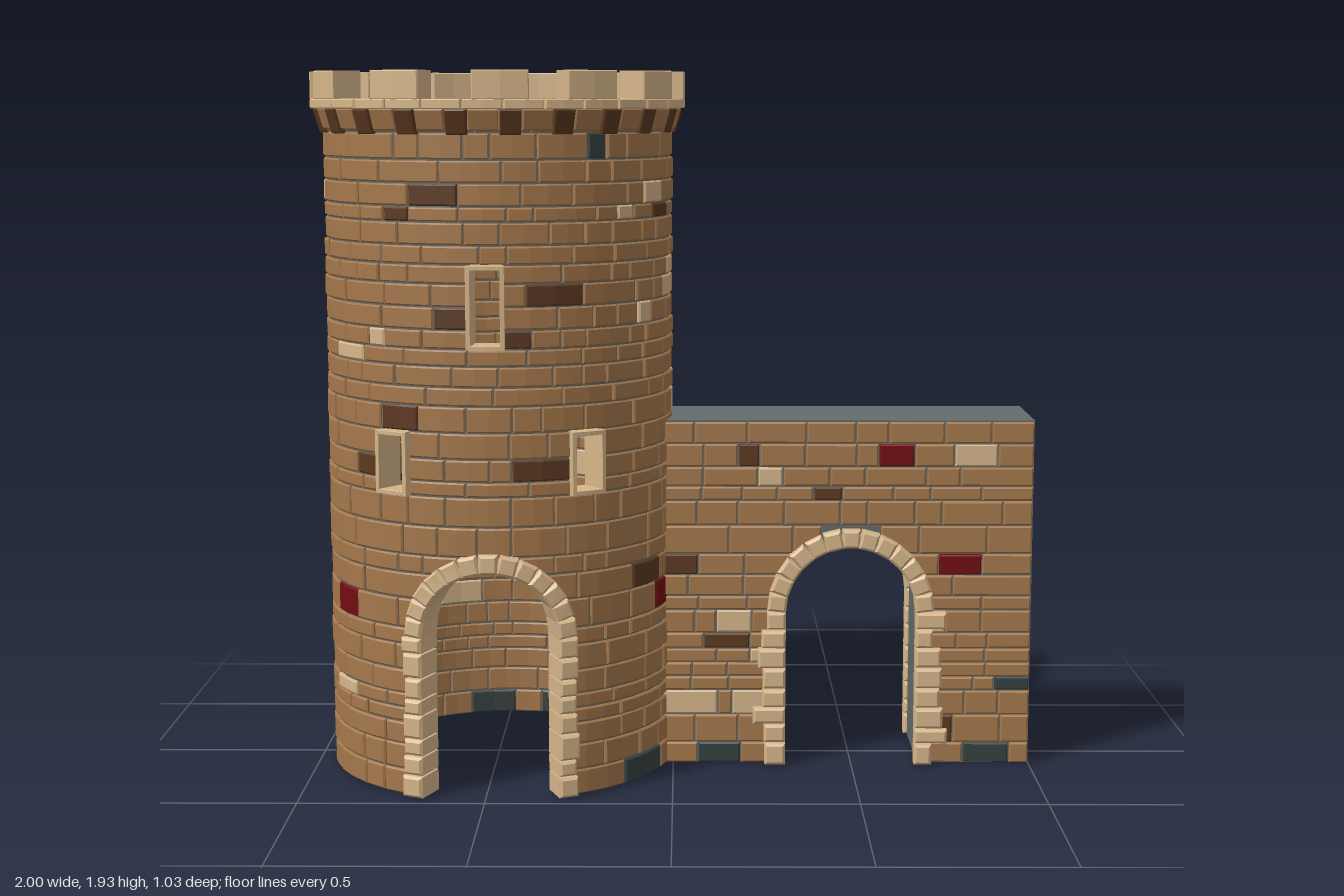
import * as THREE from 'three';
import { mergeGeometries } from 'three/addons/utils/BufferGeometryUtils.js';

const COLORS = {
  brown: 0xa5784c, darkBrown: 0x5c3921, tan: 0xd6b68a,
  red: 0x730d11, slate: 0x364240, mortar: 0x646c6c,
};
const CX = -0.484, R = 0.48;          // tower centre and outer radius
const ARCH_Y = 0.44, ARCH_R = 0.205;  // spring height and centreline radius of both arches
const GAP = 0.004;                    // joint between bricks

// Heights of the brick courses
const TOWER_COURSES = [0, 0.07, 0.14, 0.2, 0.24, 0.28, 0.345, 0.415, 0.46, 0.54, 0.61, 0.66, 0.74, 0.82, 0.86,
  0.92, 0.99, 1.06, 1.11, 1.165, 1.21, 1.26, 1.32, 1.38, 1.43, 1.48, 1.54, 1.58, 1.64, 1.7, 1.77, 1.83];
const WALL_COURSES = [0, 0.06, 0.14, 0.21, 0.25, 0.29, 0.33, 0.375, 0.44, 0.48, 0.54, 0.6, 0.68, 0.75, 0.79,
  0.845, 0.91, 0.972];

// Odd-coloured bricks: place along the wall, height and, where unusual, width
const TOWER_ACCENTS = {
  darkBrown: [[-0.14, 1.6, 0.14], [-0.25, 1.55, 0.08], [0.185, 1.35, 0.16], [0.07, 1.24], [-0.25, 1.02, 0.12],
    [0.135, 0.88, 0.14], [-0.36, 0.88], [0.5, 0.57, 0.14], [0.83, 1.73, 0.13], [0.58, 1.55], [1.19, 0.57, 0.13],
    [-0.08, 1.29, 0.12], [-1.11, 1.35, 0.14], [-1.27, 0.77], [-1.08, 0.77], [1.355, 1.17], [-1.2, 0.57, 0.13],
    [-1.45, 0.43], [-1.3, 1.24], [-0.75, 1.45], [1.34, 0.7], [-0.8, 0.63], [1.2, 0.05]],
  tan: [[-0.445, 1.19, 0.14], [-0.32, 1.24, 0.06], [-0.5, 0.26, 0.13], [0.54, 1.6], [1.19, 1.67], [0.68, 1.4, 0.08],
    [0.68, 1.35, 0.16], [0.49, 1.29, 0.06], [0.8, 1.02, 0.2], [0.77, 1.08, 0.07], [1.05, 0.84, 0.13], [-1.43, 1.5],
    [-0.915, 1.02, 0.16], [-1.32, 0.36, 0.15], [1.27, 0.78], [1.4, 0.95], [-0.7, 1.6], [0.41, 1.55, 0.06]],
  red: [[-0.485, 0.5, 0.12], [0.6, 0.5, 0.1], [1.13, 1.55, 0.07], [1.05, 0.89, 0.12], [1.04, 0.39, 0.09],
    [-1.4, 1.62, 0.08], [-1.4, 0.77, 0.08], [-0.86, 0.05], [-1.16, 1.67, 0.08], [-1.2, 1.09, 0.08]],
  slate: [[0.31, 1.73, 0.06], [0.49, 0.03, 0.18], [1.04, 0.1], [-1.42, 0.03, 0.13], [-1.04, 0.03, 0.13],
    [1.35, 0.03, 0.13], [-0.7, 0.03, 0.1]],
};
const WALL_ACCENTS = {
  darkBrown: [[0.43, 0.77, 0.08], [0.15, 0.35, 0.13], [0.75, 0.1, 0.07], [0.03, 0.57, 0.08], [0.21, 0.88, 0.06]],
  tan: [[0.84, 0.88, 0.12], [0.27, 0.82, 0.07], [0.17, 0.4, 0.1], [0.26, 0.31, 0.09], [0.06, 0.17, 0.13],
    [0.22, 0.19, 0.11], [0.73, 0.4, 0.06]],
  red: [[0.62, 0.88, 0.1], [0.8, 0.57, 0.12]],
  slate: [[0.95, 0.23, 0.1], [0.13, 0.03, 0.12], [0.88, 0.03, 0.13]],
};

export function createModel() {
  let seed = 7;
  const rnd = () => {
    seed = (seed * 16807) % 2147483647;
    return seed / 2147483647;
  };

  const materials = {};
  for (const [name, color] of Object.entries(COLORS)) {
    materials[name] = new THREE.MeshStandardMaterial({ color });
    materials[name].name = name;
  }

  // Maps from (along wall, height, depth) to space
  const bend = (u, y, d) => [CX + d * Math.sin(u / R), y, d * Math.cos(u / R)];
  const flare = (u, y, d) => bend(u, y, d + (d > 0.47 ? (y - 1.765) * 0.3 : 0));
  const front = (u, y, d) => [u, y, d];
  const back = (u, y, d) => [0.98 - u, y, -d - 0.07];

  // Blocks are gathered per part and colour, then merged
  const parts = {};
  const collect = (part, color, geo) => {
    parts[part] ??= {};
    (parts[part][color] ??= []).push(geo);
  };

  // A chamfered block centred at (u, y), turned in the wall plane, placed by a map
  function block(part, color, map, u, y, w, h, d0, d1, bevel = 0.004, turn = 0) {
    const geo = new THREE.BoxGeometry(w, h, d1 - d0, Math.ceil(w / 0.08), 1, 3);
    const p = geo.attributes.position, half = (d1 - d0) / 2;
    const c = Math.cos(turn), s = Math.sin(turn);
    for (let i = 0; i < p.count; i++) {
      let lx = p.getX(i), ly = p.getY(i), lz = p.getZ(i);
      if (Math.abs(lz) > half * 0.9) {
        lx *= 1 - 2 * bevel / w;
        ly *= 1 - 2 * bevel / h;
      } else lz = Math.sign(lz) * (half - bevel);
      p.setXYZ(i, ...map(u + lx * c - ly * s, y + lx * s + ly * c, (d0 + d1) / 2 + lz));
    }
    const flat = geo.toNonIndexed();
    flat.computeVertexNormals();
    collect(part, color, flat);
  }

  // Lay courses from u0 to u1, leaving the openings free and setting the accents in place
  function layBricks(part, map, u0, u1, levels, openings, accents, d0, d1, mortar) {
    for (let row = 0; row + 1 < levels.length; row++) {
      const y0 = levels[row], h = levels[row + 1] - y0, y = y0 + h / 2;
      const brick = (color, a, b) => block(part + 'Bricks', color, map, (a + b) / 2, y, b - a - GAP, h - GAP,
        d0, d1 + rnd() * 0.005 - 0.002);
      const fill = (a, b) => {
        while (a < b - 0.012) {
          let w = 0.07 + 0.12 * rnd();
          if (b - a - w < 0.055) w = b - a;
          brick('brown', a, a + w);
          a += w;
        }
      };
      const shift = mortar ? 0.1 * rnd() : 0; // keeps the closing joint of the ring from lining up
      let spans = [[u0 + shift, u1 + shift]];
      for (const o of openings) {
        const hw = o.half(y0 + h * 0.35);
        if (hw <= 0) continue;
        spans = spans.flatMap(([a, b]) => (o.u - hw > a && o.u + hw < b
          ? [[a, o.u - hw], [o.u + hw, b]] : [[a, b]]));
      }
      for (const [a, b] of spans) {
        if (mortar) block(part + 'Mortar', 'mortar', map, (a + b) / 2, y + 0.004, b - a, h, ...mortar, 0.001);
        const hits = Object.entries(accents).flatMap(([color, spots]) => spots
          .filter(([u, v]) => u > a && u < b && v >= y0 && v < y0 + h)
          .map(([u, , w = 0.1]) => ({ color, a: u - w / 2, b: u + w / 2 })));
        let pos = a;
        for (const hit of hits.sort((p, q) => p.a - q.a)) {
          const start = hit.a - pos < 0.03 ? pos : hit.a;
          const end = b - hit.b < 0.03 ? b : hit.b;
          fill(pos, start);
          brick(hit.color, start, end);
          pos = end;
        }
        fill(pos, b);
      }
    }
  }

  // Stones around an arched opening: two jambs, some reaching outward, and a semicircle
  function archStones(part, map, u, d0, d1, reach) {
    const rows = 8;
    for (const side of [-1, 1]) {
      let y = 0;
      for (let i = 1; i <= rows; i++) {
        const top = i === rows ? ARCH_Y : ARCH_Y * (i + 0.4 * rnd() - 0.2) / rows;
        const extra = reach * rnd() ** 2;
        block(part, 'tan', map, u + side * (ARCH_R + extra / 2), (y + top) / 2, 0.048 + extra, top - y - 0.004,
          d0, d1 - rnd() * 0.006, 0.007);
        y = top;
      }
    }
    const n = 13;
    for (let i = 0; i < n; i++) {
      const a = Math.PI * (i + 0.5) / n;
      block(part, 'tan', map, u + ARCH_R * Math.cos(a), ARCH_Y + ARCH_R * Math.sin(a),
        0.052, Math.PI * ARCH_R / n, d0, d1 - rnd() * 0.006, 0.007, a);
    }
  }

  const archOpening = (u) => ({
    u,
    half: (y) => (y < ARCH_Y ? ARCH_R : Math.sqrt(Math.max(0, ARCH_R ** 2 - (y - ARCH_Y) ** 2))),
  });

  // Tower shell with a doorway and three windows
  const windows = [
    { u: -0.265, y0: 0.82, y1: 0.99 }, { u: 0.27, y0: 0.82, y1: 0.99 }, { u: 0, y0: 1.21, y1: 1.43 },
  ];
  const openings = windows.map(({ u, y0, y1 }) => ({ u, half: (y) => (y > y0 && y < y1 ? 0.044 : 0) }));
  layBricks('tower', bend, -Math.PI * R, Math.PI * R, TOWER_COURSES,
    [archOpening(0), ...openings], TOWER_ACCENTS, 0.415, R, [0.421, 0.474]);
  archStones('doorArch', bend, 0, 0.4, 0.506, 0.012);

  // Window frames
  for (const { u, y0, y1 } of windows) {
    const y = (y0 + y1) / 2;
    for (const s of [-1, 1]) {
      block('windowFrames', 'tan', bend, u + s * 0.043, y, 0.012, y1 - y0, 0.415, 0.5, 0.001);
      block('windowFrames', 'tan', bend, u, y + s * ((y1 - y0) / 2 - 0.006), 0.09, 0.012, 0.415, 0.5, 0.001);
    }
  }

  // Flared corbels and cap slabs
  const around = 2 * Math.PI * R;
  for (let i = 0; i < 44; i++) {
    const dark = i % 2 === 1;
    block('corbels', dark ? 'darkBrown' : 'brown', flare, around * i / 44, dark ? 1.797 : 1.803,
      dark ? 0.054 : 0.076, dark ? 0.064 : 0.054, 0.45, dark ? 0.49 : 0.486, 0.003);
  }
  for (let i = 0; i < 30; i++) {
    block('capRing', 'tan', bend, around * i / 30, 1.843, around / 30 - 0.003, 0.026, 0.42, 0.516, 0.003);
  }

  // Battlements, unevenly spaced
  for (const a of [0.09, 0.58, 1.06, 1.62, 2.24, 2.95, 3.53, 4.1, 4.66, 5.22, 5.81]) {
    block('battlements', 'tan', bend, a * R, 1.892, 0.138, 0.076, 0.43, 0.516, 0.003);
  }

  // Side wall core with an arched passage
  const r = 0.192, ax = 0.495;
  const shape = new THREE.Shape();
  shape.moveTo(-0.05, 0);
  shape.lineTo(ax - r, 0);
  shape.lineTo(ax - r, ARCH_Y);
  shape.absarc(ax, ARCH_Y, r, Math.PI, 0, true);
  shape.lineTo(ax + r, 0);
  shape.lineTo(1, 0);
  shape.lineTo(1, 0.975);
  shape.lineTo(-0.05, 0.975);
  const core = new THREE.ExtrudeGeometry(shape, { depth: 0.29, bevelEnabled: false, curveSegments: 16 });
  collect('wallCore', 'mortar', core.translate(0, 0, -0.18));

  // Brick facing and arch stones, the back mirroring the front
  const mirrored = Object.fromEntries(Object.entries(WALL_ACCENTS)
    .map(([color, spots]) => [color, spots.map(([u, y, w]) => [0.98 - u, y, w])]));
  layBricks('wallFront', front, -0.03, 1, WALL_COURSES, [archOpening(ax)], WALL_ACCENTS, 0.1, 0.12);
  layBricks('wallBack', back, -0.02, 1.02, WALL_COURSES, [archOpening(0.98 - ax)], mirrored, 0.1, 0.12);
  archStones('wallArchFront', front, ax, 0.1, 0.152, 0.045);
  archStones('wallArchBack', back, 0.98 - ax, 0.1, 0.152, 0.045);

  const model = new THREE.Group();
  model.name = 'castleTower';
  for (const [part, byColor] of Object.entries(parts)) {
    const group = new THREE.Group();
    group.name = part;
    for (const [color, geos] of Object.entries(byColor)) {
      const mesh = new THREE.Mesh(mergeGeometries(geos), materials[color]);
      mesh.name = `${part} ${color}`;
      group.add(mesh);
    }
    model.add(group);
  }
  return model;
}
